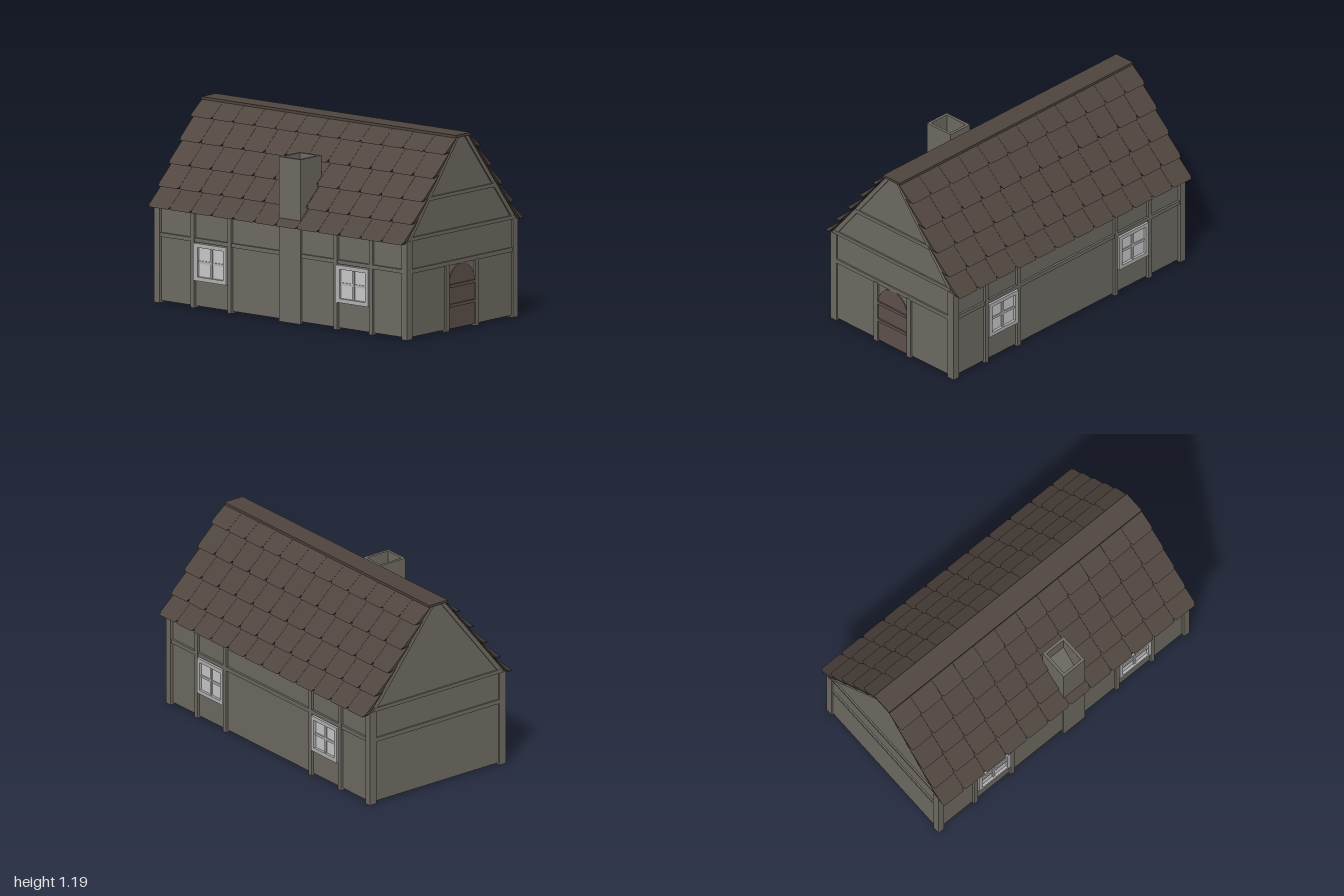
import * as THREE from 'three';

const mat = (color) => new THREE.MeshStandardMaterial({ color, flatShading: true });
const wallMat = mat(0x6f6c63);
const roofMat = mat(0x50453f);
const doorMat = mat(0x5f524c);
const frameMat = mat(0xb4b4b4);
const paneMat = mat(0xcccccc);

const WALL_TOP = 0.6, RIDGE = 1.18;
// Half width of the gable at a height
const gableX = (y) => 0.52 - (y - WALL_TOP) * 0.8;

function add(parent, name, geometry, material) {
  const mesh = new THREE.Mesh(geometry, material);
  mesh.name = name;
  parent.add(mesh);
  return mesh;
}

// Box given by its limits on each axis
function block(parent, name, [x0, x1], [y0, y1], [z0, z1], material = wallMat) {
  const mesh = add(parent, name, new THREE.BoxGeometry(x1 - x0, y1 - y0, z1 - z0), material);
  mesh.position.set((x0 + x1) / 2, (y0 + y1) / 2, (z0 + z1) / 2);
  return mesh;
}

const outline = (points) => new THREE.Shape(points.map(([x, y]) => new THREE.Vector2(x, y)));

// Outline in x and y, extruded from z0 to z1
function prism(parent, name, shape, z0, z1, material = wallMat) {
  const geometry = new THREE.ExtrudeGeometry(shape, { depth: z1 - z0, bevelEnabled: false, curveSegments: 10 });
  return add(parent, name, geometry.translate(0, 0, z0), material);
}

// Four-pane window standing out from the +x side
function makeWindow(z) {
  const g = new THREE.Group();
  g.name = 'window';
  const w = 0.125, y0 = 0.17, y1 = 0.4, b = 0.025, ym = (y0 + y1) / 2;
  const bar = (name, depth, y, dz) => block(g, name, [0.49, depth], y, dz, frameMat);
  block(g, 'windowPane', [0.49, 0.508], [y0, y1], [-w, w], paneMat);
  for (const s of [-1, 1]) {
    const edge = s * (w - b / 2);
    bar('windowJamb', 0.525, [y0, y1], [edge - b / 2, edge + b / 2]);
    const y = ym + s * (0.115 - b / 2);
    bar('windowRail', 0.525, [y - b / 2, y + b / 2], [-w + b, w - b]);
  }
  bar('windowMullion', 0.515, [y0 + b, y1 - b], [-0.008, 0.008]);
  bar('windowCrossbar', 0.514, [ym - 0.008, ym + 0.008], [-w + b, w - b]);
  g.position.z = z;
  return g;
}

// Long wall: panel, posts, rails and windows
function makeSideWall(windowZ, postZ) {
  const g = new THREE.Group();
  g.name = 'sideWall';
  block(g, 'sidePanel', [0.49, 0.502], [0.012, 0.61], [-0.97, 0.97]);
  block(g, 'sideRail', [0.475, 0.516], [0.405, 0.43], [-0.97, 0.97]);
  block(g, 'wallPlate', [0.475, 0.516], [0.59, 0.612], [-0.97, 0.97]);
  for (const z of postZ) block(g, 'sidePost', [0.475, 0.519], [0, 0.605], [z - 0.014, z + 0.014]);
  for (const z of windowZ) g.add(makeWindow(z));
  return g;
}

// End wall with its gable, corner posts, rafters and cross beams
function makeEndWall(beams) {
  const g = new THREE.Group();
  g.name = 'endWall';
  const top = gableX(RIDGE);
  prism(g, 'gablePanel', outline([[-0.5, 0.012], [0.5, 0.012], [0.5, WALL_TOP], [top - 0.01, RIDGE],
    [-top + 0.01, RIDGE], [-0.5, WALL_TOP]]), 0.965, 0.982);
  for (const s of [-1, 1]) {
    block(g, 'cornerPost', s > 0 ? [0.472, 0.522] : [-0.522, -0.472], [0, 0.605], [0.95, 0.994]);
    prism(g, 'rafter', outline([[s * 0.516, WALL_TOP], [s * top, RIDGE], [s * (top - 0.03), RIDGE],
      [s * 0.48, WALL_TOP]]), 0.955, 0.99);
  }
  for (const [y0, y1] of beams) {
    const w = Math.min(0.5, gableX(y1) - 0.01);
    block(g, 'crossBeam', [-w, w], [y0, y1], [0.95, 0.992]);
  }
  return g;
}

// Arched door with bands and side posts
function makeDoor() {
  const g = new THREE.Group();
  g.name = 'door';
  const shape = outline([[-0.12, 0.012], [0.12, 0.012], [0.12, 0.285]]);
  shape.absellipse(0, 0.285, 0.12, 0.117, 0, Math.PI, false);
  prism(g, 'doorLeaf', shape, 0.975, 0.988, doorMat);
  for (const y of [0.145, 0.265]) block(g, 'doorBand', [-0.12, 0.12], [y, y + 0.02], [0.98, 0.997], doorMat);
  for (const s of [-1, 1]) {
    block(g, 'doorPost', [s * 0.139 - 0.017, s * 0.139 + 0.017], [0, 0.41], [0.95, 0.994]);
  }
  return g;
}

// Wedge-shaped tile with clipped lower corners, top edge at a, lip at b
function tileGeometry(a, b, width) {
  const n = 0.01, h = width / 2 - 0.0005;
  const shape = outline([[-h, 0], [h, 0], [h, 0.88], [h - n, 1], [-h + n, 1], [-h, 0.88]]);
  const geometry = new THREE.ExtrudeGeometry(shape, { depth: 1, bevelEnabled: false });
  const p = geometry.attributes.position;
  for (let i = 0; i < p.count; i++) {
    const u = p.getX(i), t = p.getY(i), d = p.getZ(i);
    p.setXYZ(i, a[0] + (b[0] - a[0]) * t - d * (0.004 + 0.032 * t), a[1] + (b[1] - a[1]) * t, -u);
  }
  geometry.computeVertexNormals();
  return geometry;
}

// One roof slope: lining board and five courses of tiles
function makeRoofSlope() {
  const g = new THREE.Group();
  g.name = 'roofSlope';
  const top = gableX(RIDGE);
  prism(g, 'roofLining', outline([[0.512, WALL_TOP], [top - 0.004, RIDGE], [top - 0.02, RIDGE],
    [0.495, WALL_TOP]]), -0.97, 0.97);
  const lips = [1.09, 0.958, 0.83, 0.705, 0.592];
  const count = 12, width = 2 / count;
  lips.forEach((y, i) => {
    const start = i ? lips[i - 1] + 0.012 : RIDGE;
    const geometry = tileGeometry([gableX(start) + 0.006, start], [gableX(y) + 0.05, y], width);
    for (let k = 0; k < count; k++) {
      add(g, 'roofTile', geometry, roofMat).position.z = -1 + (k + 0.5) * width;
    }
  });
  return g;
}

// Hollow chimney rising through the left-hand slope on the -x side
function makeChimney() {
  const g = new THREE.Group();
  g.name = 'chimney';
  const z0 = -0.008, z1 = 0.16, t = 0.018, top = 1.01;
  block(g, 'chimneyOuterWall', [-0.527, -0.509], [0, top], [z0, z1]);
  block(g, 'chimneyInnerWall', [-0.348, -0.33], [0.82, top], [z0, z1]);
  const cheek = outline([[-0.509, 0.61], [-0.348, 0.81], [-0.348, top], [-0.509, top]]);
  prism(g, 'chimneyCheek', cheek, z0, z0 + t);
  prism(g, 'chimneyCheek', cheek, z1 - t, z1);
  prism(g, 'flueFloor', outline([[-0.509, 0.62], [-0.348, 0.82], [-0.348, 0.89], [-0.509, 0.7]]), z0 + t, z1 - t);
  return g;
}

export function createModel() {
  const house = new THREE.Group();
  house.name = 'house';
  const windows = [0.565, -0.55], posts = [0.705, 0.428, -0.405, -0.695];

  house.add(makeSideWall(windows, posts));
  const leftWall = makeSideWall(windows.map((z) => -z), posts.map((z) => -z));
  leftWall.rotation.y = Math.PI;
  house.add(leftWall);

  house.add(makeEndWall([[0.602, 0.625], [0.825, 0.848], [0.403, 0.43]]));
  const backWall = makeEndWall([[0.602, 0.625], [0.403, 0.43]]);
  backWall.rotation.y = Math.PI;
  house.add(backWall, makeDoor());

  for (const turn of [0, Math.PI]) {
    const slope = makeRoofSlope();
    slope.rotation.y = turn;
    house.add(slope);
  }
  block(house, 'ridgeCap', [-0.07, 0.07], [1.178, 1.194], [-1, 1], roofMat);
  house.add(makeChimney());
  return house;
}
